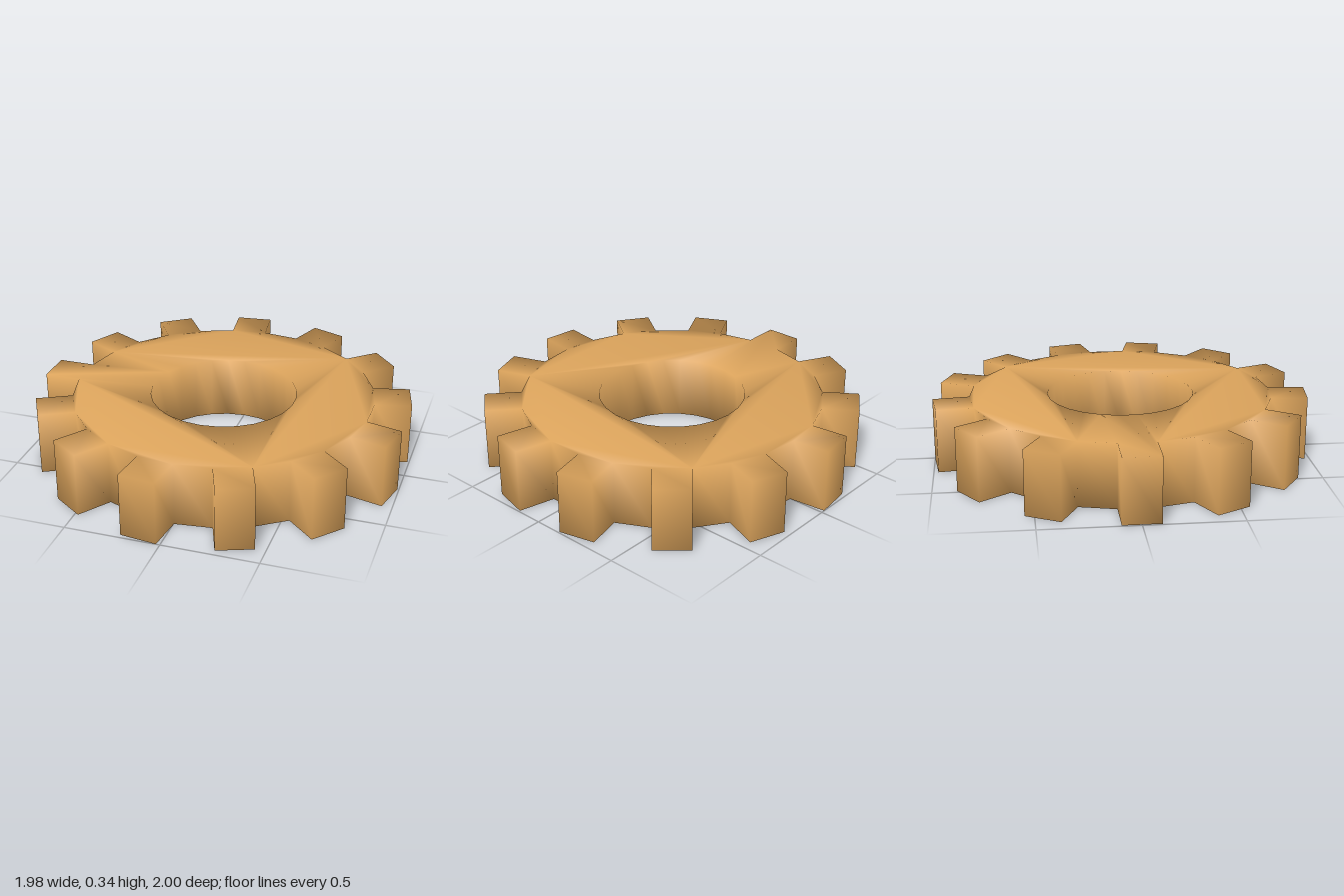
import * as THREE from 'three';
import { mergeVertices } from 'three/addons/utils/BufferGeometryUtils.js';

const TEETH = 13;
const HEIGHT = 0.34;
const ROOT_X = 0.8;      // distance of each tooth's base from the axle
const TIP_X = 0.995;     // distance of each tooth's tip
const HALF_WIDTH = 0.097;
const HOLE_RADIUS = 0.39;
const HOLE_SIDES = 26;

// Outline: parallel-sided teeth joined by straight valleys
function gearOutline() {
  const points = [];
  const tooth = [
    [ROOT_X, -HALF_WIDTH], [TIP_X, -HALF_WIDTH],
    [TIP_X, HALF_WIDTH], [ROOT_X, HALF_WIDTH],
  ];
  for (let i = 0; i < TEETH; i++) {
    const angle = Math.PI + (i / TEETH) * Math.PI * 2;
    for (const [x, y] of tooth) {
      points.push(new THREE.Vector2(x, y).rotateAround(new THREE.Vector2(), angle));
    }
  }
  return new THREE.Shape(points);
}

// Axle hole, wound against the outline
function axleHole() {
  const points = [];
  for (let i = 0; i < HOLE_SIDES; i++) {
    const angle = -((i + 0.5) / HOLE_SIDES) * Math.PI * 2;
    points.push(new THREE.Vector2(Math.cos(angle), Math.sin(angle)).multiplyScalar(HOLE_RADIUS));
  }
  return new THREE.Path(points);
}

export function createModel() {
  const group = new THREE.Group();
  group.name = 'gear';

  const shape = gearOutline();
  shape.holes.push(axleHole());

  // Flat gear with welded corners, so its shading is smooth throughout
  let geometry = new THREE.ExtrudeGeometry(shape, { depth: HEIGHT, bevelEnabled: false });
  geometry.deleteAttribute('normal');
  geometry.deleteAttribute('uv');
  geometry.clearGroups();
  geometry = mergeVertices(geometry, 1e-4);
  geometry.rotateX(-Math.PI / 2);
  geometry.translate(0.003, 0, 0);
  geometry.computeVertexNormals();

  const wheel = new THREE.Mesh(geometry, new THREE.MeshStandardMaterial({ color: 0xdca45c }));
  wheel.name = 'toothedWheel';
  group.add(wheel);
  return group;
}
